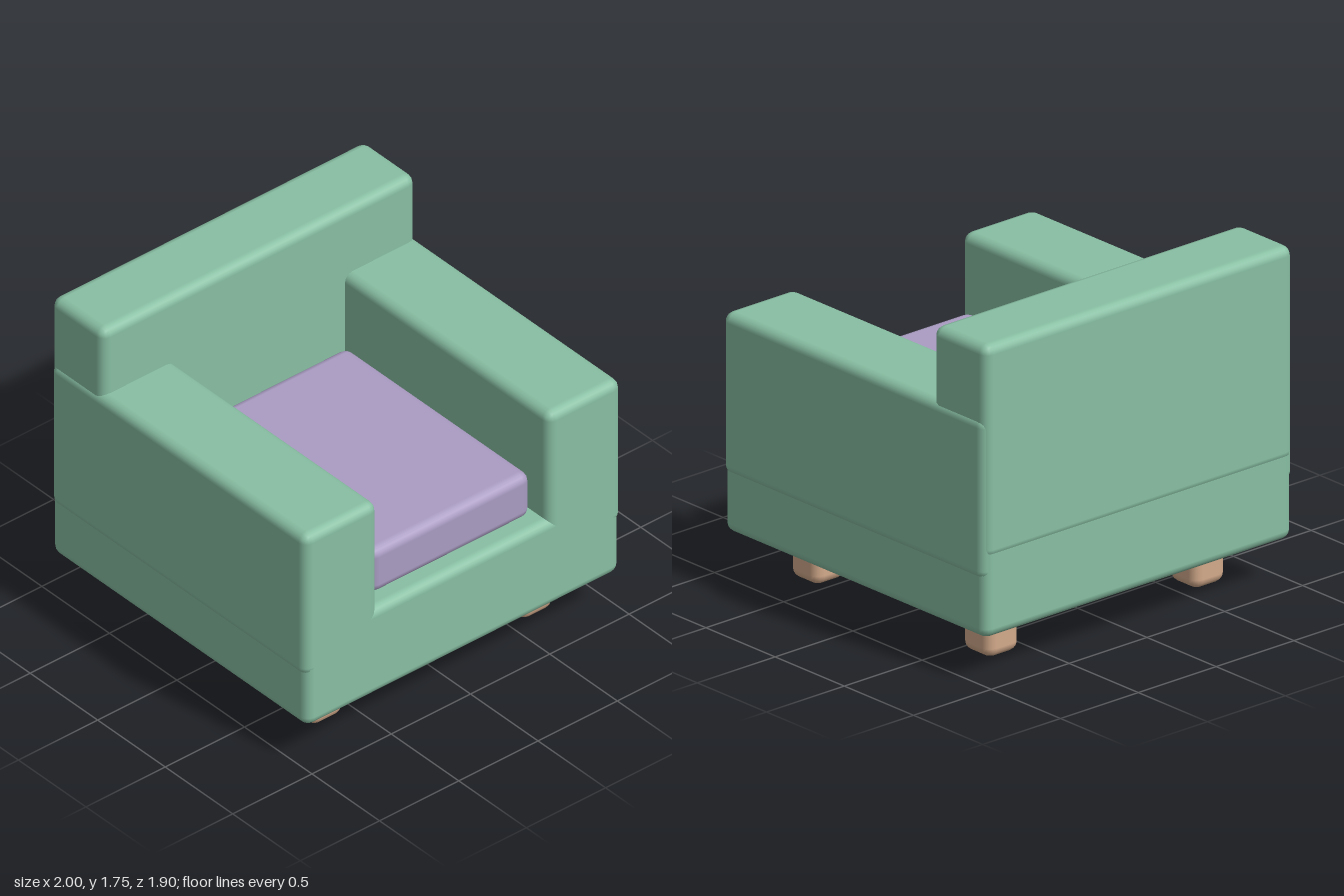
import * as THREE from 'three';
import { RoundedBoxGeometry } from 'three/addons/geometries/RoundedBoxGeometry.js';

const material = (name, color) => {
  const m = new THREE.MeshStandardMaterial({ color });
  m.name = name;
  return m;
};

// Soft-edged block given by its [min, max] range along each axis
function block(name, mat, [x0, x1], [y0, y1], [z0, z1], radius = 0.05) {
  const geometry = new RoundedBoxGeometry(x1 - x0, y1 - y0, z1 - z0, 2, radius);
  const mesh = new THREE.Mesh(geometry, mat);
  mesh.name = name;
  mesh.position.set((x0 + x1) / 2, (y0 + y1) / 2, (z0 + z1) / 2);
  return mesh;
}

export function createModel() {
  const green = material('green upholstery', 0x88bfa3);
  const purple = material('purple cushion fabric', 0xaa9cc3);
  const wood = material('light wood', 0xd3aa8b);

  const chair = new THREE.Group();
  chair.name = 'armchair';

  // Upholstered body
  chair.add(block('seatBase', green, [-0.99, 0.99], [0.23, 0.74], [-0.945, 0.95]));
  chair.add(block('backrest', green, [-0.99, 0.99], [0.64, 1.75], [-0.95, -0.56]));

  // Loose seat cushion
  chair.add(block('seatCushion', purple, [-0.505, 0.505], [0.74, 1.0], [-0.51, 0.86]));

  // Arms and legs, mirrored left and right
  for (const [side, s] of [['left', 1], ['right', -1]]) {
    const span = (a, b) => (s > 0 ? [a, b] : [-b, -a]);
    chair.add(block(side + 'Arm', green, span(0.537, 1), [0.53, 1.37], [-0.942, 0.95]));
    chair.add(block(side + 'FrontLeg', wood, span(0.56, 0.765), [0, 0.3], [0.525, 0.73]));
    chair.add(block(side + 'BackLeg', wood, span(0.56, 0.765), [0, 0.3], [-0.72, -0.515]));
  }

  return chair;
}
